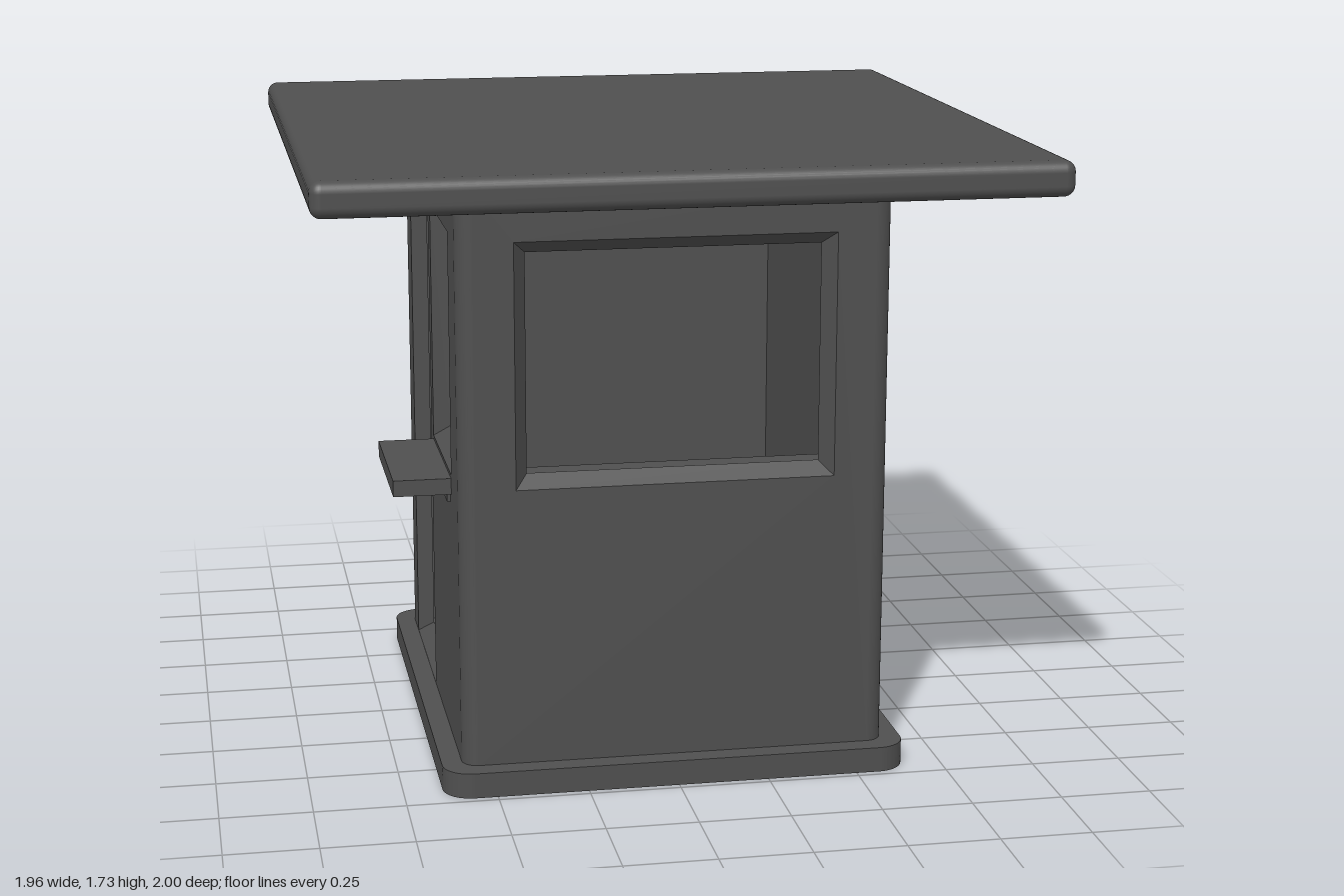
import * as THREE from 'three';
import { mergeGeometries } from 'three/addons/utils/BufferGeometryUtils.js';
import { RoundedBoxGeometry } from 'three/addons/geometries/RoundedBoxGeometry.js';

const HX = 0.587, HZ = 0.67;      // outer half sizes of the booth
const Y0 = 0.07, Y1 = 1.645;      // bottom and top of the walls
const T = 0.045;                  // wall thickness and corner radius
const BEVEL = 0.035;              // how far openings narrow towards the inside

// corners of a rectangle [x0, y0, x1, y1], grown by g, counter-clockwise
const corners = ([x0, y0, x1, y1], g = 0) => [
  [x0 - g, y0 - g], [x1 + g, y0 - g], [x1 + g, y1 + g], [x0 - g, y1 + g],
].map(([x, y]) => new THREE.Vector2(x, y));

// flat rectangle with rectangular holes
function sheet(rect, holes, grow) {
  const shape = new THREE.Shape(corners(rect));
  for (const h of holes) shape.holes.push(new THREE.Path(corners(h, grow).reverse()));
  return new THREE.ShapeGeometry(shape);
}

// wall facing +z, with openings that taper through its thickness
function wallGeometry(halfWidth, openings) {
  const rect = [-halfWidth, Y0, halfWidth, Y1];
  const outer = sheet(rect, openings, BEVEL);
  const inner = sheet(rect, openings, 0).rotateY(Math.PI).scale(-1, 1, 1).translate(0, 0, -T);
  // the mirrored half turn leaves the sheet in place, so turn its faces round
  const index = inner.index;
  for (let i = 0; i < index.count; i += 3) {
    const a = index.getX(i);
    index.setX(i, index.getX(i + 1));
    index.setX(i + 1, a);
  }
  const parts = [outer.toNonIndexed(), inner.toNonIndexed()];
  for (const h of openings) {
    const o = corners(h, BEVEL), n = corners(h), pos = [];
    for (let i = 0; i < 4; i++) {
      const j = (i + 1) % 4;
      const a = [o[i].x, o[i].y, 0], b = [o[j].x, o[j].y, 0];
      const c = [n[j].x, n[j].y, -T], d = [n[i].x, n[i].y, -T];
      pos.push(...a, ...b, ...c, ...a, ...c, ...d);
    }
    const g = new THREE.BufferGeometry();
    g.setAttribute('position', new THREE.Float32BufferAttribute(pos, 3));
    parts.push(g);
  }
  for (const p of parts) {
    p.deleteAttribute('uv');
    p.deleteAttribute('normal');
  }
  const geometry = mergeGeometries(parts);
  geometry.computeVertexNormals();
  return geometry;
}

// slab with rounded vertical corners, lying on y = 0
function roundedSlab(hx, hz, r, height) {
  const s = new THREE.Shape();
  s.absarc(hx - r, hz - r, r, 0, Math.PI / 2);
  s.absarc(-hx + r, hz - r, r, Math.PI / 2, Math.PI);
  s.absarc(-hx + r, -hz + r, r, Math.PI, Math.PI * 1.5);
  s.absarc(hx - r, -hz + r, r, Math.PI * 1.5, Math.PI * 2);
  return new THREE.ExtrudeGeometry(s, { depth: height, bevelEnabled: false, curveSegments: 8 })
    .rotateX(-Math.PI / 2);
}

export function createModel() {
  const model = new THREE.Group();
  model.name = 'booth';
  const grey = new THREE.MeshStandardMaterial({ color: 0x4f4f4f });
  grey.name = 'darkGrey';

  const add = (name, geometry, x = 0, y = 0, z = 0, turn = 0) => {
    const mesh = new THREE.Mesh(geometry, grey);
    mesh.name = name;
    mesh.position.set(x, y, z);
    mesh.rotation.y = turn;
    model.add(mesh);
    return mesh;
  };
  // box given by its limits on each axis
  const block = (name, x0, x1, y0, y1, z0, z1) =>
    add(name, new THREE.BoxGeometry(x1 - x0, y1 - y0, z1 - z0),
      (x0 + x1) / 2, (y0 + y1) / 2, (z0 + z1) / 2);

  // floor slab and roof
  add('base', roundedSlab(0.643, 0.73, 0.08, Y0));
  add('roof', new RoundedBoxGeometry(1.96, 0.095, 2, 4, 0.03), 0, 1.687, 0);

  // walls with window and door openings
  const wx = HX - T, wz = HZ - T, low = 0.875, high = 1.475;
  add('frontWall', wallGeometry(wx, [[-0.4, low, 0.4, high]]), 0, 0, HZ);
  add('backWall', wallGeometry(wx, []), 0, 0, -HZ, Math.PI);
  add('leftWall', wallGeometry(wz, [[-0.445, low, -0.075, high]]), HX, 0, 0, Math.PI / 2);
  add('rightWall', wallGeometry(wz, [
    [0.075, low, 0.445, high],
    [-0.48, Y0 + BEVEL + 0.001, -0.05, high],
  ]), -HX, 0, 0, -Math.PI / 2);

  // rounded corner posts
  [[1, 1], [1, -1], [-1, -1], [-1, 1]].forEach(([sx, sz], i) => {
    add('cornerPost', new THREE.CylinderGeometry(T, T, Y1 - Y0, 8, 1, true, i * Math.PI / 2, Math.PI / 2),
      sx * wx, (Y0 + Y1) / 2, sz * wz);
  });

  // counter inside the front window, and shelf outside the side window
  block('counter', -wx, wx, 0.785, 0.83, 0.4, wz);
  block('shelf', -0.745, -0.53, 0.785, 0.83, 0.04, 0.48);
  block('shelfCleat', -0.597, -0.58, 0.76, 0.83, 0.06, 0.46);

  return model;
}
